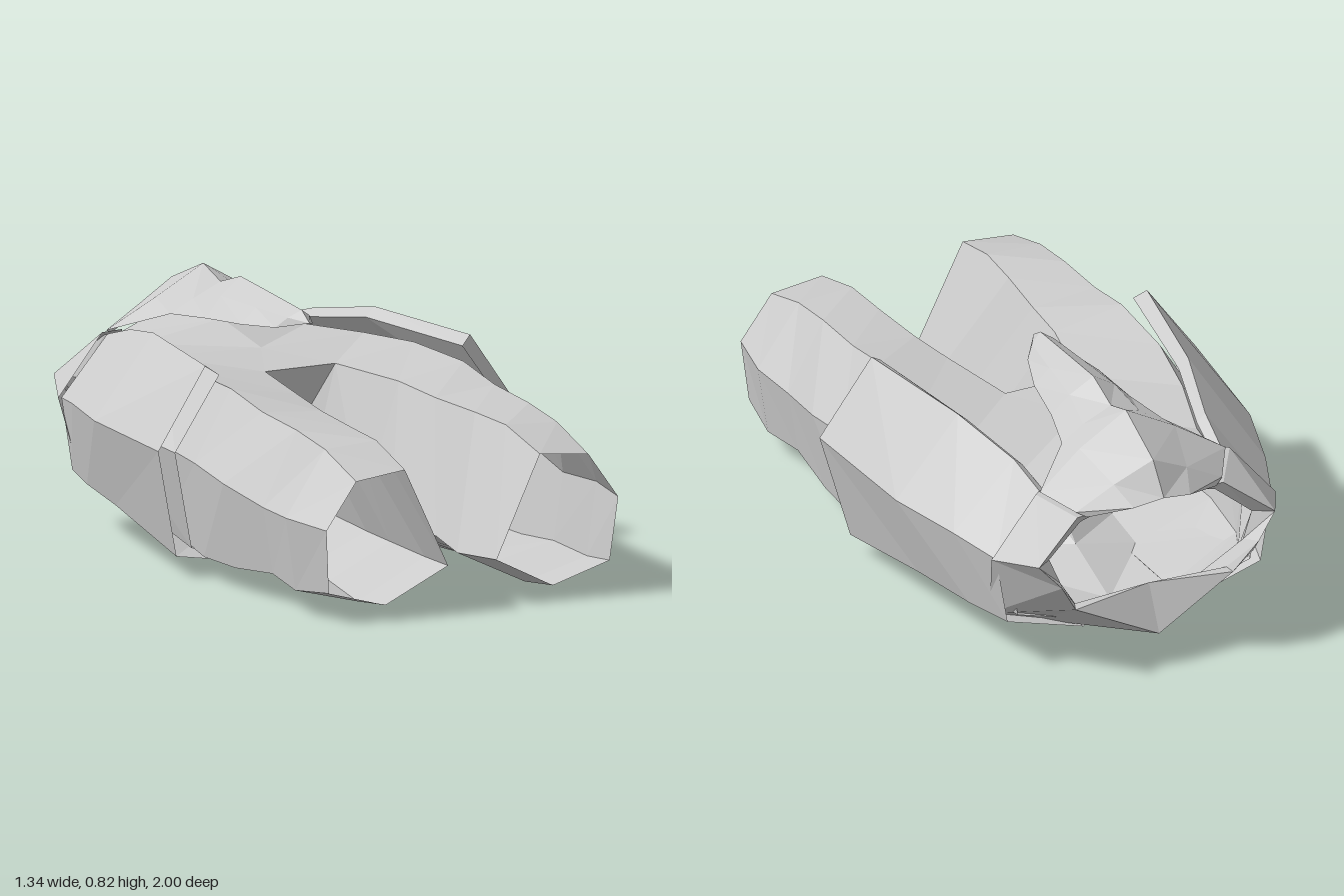
import * as THREE from 'three';

const material = new THREE.MeshStandardMaterial({ color: 0xcccccc, flatShading: true, side: THREE.DoubleSide });

// Faceted mesh from corner triples; side = -1 mirrors it across x = 0
function facets(name, triangles, side = 1) {
  const pos = [];
  for (const t of triangles) {
    for (const p of side > 0 ? t : [t[0], t[2], t[1]]) pos.push(p[0] * side, p[1], p[2]);
  }
  const geometry = new THREE.BufferGeometry();
  geometry.setAttribute('position', new THREE.Float32BufferAttribute(pos, 3));
  geometry.computeVertexNormals();
  const mesh = new THREE.Mesh(geometry, material);
  mesh.name = name;
  return mesh;
}

// Triangles joining successive cross-sections; keep(row, column) may drop a strip
function loft(rows, closed = false, keep = () => true) {
  const out = [], n = rows[0].length;
  for (let r = 0; r < rows.length - 1; r++) {
    for (let c = 0; c < (closed ? n : n - 1); c++) {
      if (!keep(r, c)) continue;
      const d = (c + 1) % n;
      const [a, b, e, f] = [rows[r][c], rows[r][d], rows[r + 1][d], rows[r + 1][c]];
      out.push([a, b, e], [a, e, f]);
    }
  }
  return out;
}

// Cross-section at depth z from x, y pairs
function section(z, ...xy) {
  const pts = [];
  for (let i = 0; i < xy.length; i += 2) pts.push([xy[i], xy[i + 1], z]);
  return pts;
}

export function createModel() {
  const model = new THREE.Group();
  model.name = 'armouredTrousers';

  // Leg sections from ankle to waist: inner top, outer top, outer, lower outer, bottom, inner
  const waist = section(-0.78, 0, 0.72, 0.30, 0.60, 0.44, 0.42, 0.37, 0.25, 0.20, 0.17, 0, 0.12);
  const legRows = [
    [[0.25, 0.48, 1], [0.43, 0.46, 1], [0.54, 0.31, 1], [0.52, 0.10, 0.98], [0.31, 0.04, 0.98], [0.09, 0.15, 1]],
    section(0.8, 0.24, 0.54, 0.43, 0.53, 0.575, 0.32, 0.54, 0.08, 0.31, 0.02, 0.06, 0.14),
    section(0.62, 0.23, 0.55, 0.43, 0.56, 0.555, 0.32, 0.52, 0.10, 0.31, 0.055, 0.085, 0.16),
    section(0.4, 0.21, 0.56, 0.43, 0.58, 0.575, 0.36, 0.53, 0.08, 0.31, 0.04, 0.045, 0.15),
    section(0.2, 0.19, 0.58, 0.43, 0.62, 0.565, 0.39, 0.53, 0.08, 0.30, 0.035, 0.055, 0.17),
    section(-0.1, 0.13, 0.59, 0.42, 0.63, 0.54, 0.41, 0.50, 0.13, 0.27, 0.06, 0.035, 0.22),
    section(-0.35, 0, 0.61, 0.38, 0.62, 0.52, 0.42, 0.48, 0.18, 0.22, 0.08, 0, 0.13),
    section(-0.6, 0, 0.66, 0.31, 0.61, 0.48, 0.42, 0.45, 0.19, 0.22, 0.09, 0, 0.06),
    waist,
  ];
  // The inner strip stops where the two halves meet
  const legFaces = loft(legRows, true, (r, c) => c < 5 || r < 5);

  // Side skirt plates: top edge, outer, lower outer, bottom edge
  const plateRows = [
    [[0.49, 0.69, 0.14], [0.67, 0.43, 0.15], [0.58, 0.07, 0.11], [0.20, 0.0, 0.06]],
    section(-0.33, 0.41, 0.705, 0.63, 0.44, 0.55, 0.155, 0.20, 0.04),
    section(-0.6, 0.34, 0.66, 0.555, 0.44, 0.50, 0.17, 0.19, 0.075),
    section(-0.78, 0.32, 0.61, 0.49, 0.42, 0.45, 0.18, 0.18, 0.095),
  ];
  // Inner skin, a little proud at the front end
  const inset = ([x, y, z]) => [x * 0.94 - 0.01, 0.36 + (y - 0.36) * 0.91, z > 0 ? z + 0.02 : z];
  const plateFaces = loft(plateRows.map((row) => [...row, ...row.map(inset).reverse()]), true);

  // Hip belt: front edge, back rim, recessed lip, joined back to the waist
  const beltRows = [
    [[0.29, 0.63, -0.74], [0.345, 0.62, -0.77], [0.505, 0.42, -0.775], [0.47, 0.17, -0.69], [0.30, 0.10, -0.68], [0, 0.05, -0.70]],
    [[0.20, 0.58, -0.89], [0.26, 0.58, -0.90], [0.42, 0.46, -0.95], [0.35, 0.38, -0.975], [0.28, 0.26, -0.93], [0, 0.12, -0.965]],
    [[0.18, 0.56, -0.87], [0.24, 0.55, -0.88], [0.36, 0.45, -0.90], [0.325, 0.36, -0.91], [0.27, 0.265, -0.90], [0, 0.27, -0.89]],
    waist,
  ];

  // Ridged front flap: ridge, shoulder, edge
  const flapRows = [
    [[0, 0.64, -1.0], [0.10, 0.62, -0.985], [0.23, 0.58, -0.91]],
    [[0, 0.74, -0.92], [0.13, 0.67, -0.90], [0.26, 0.595, -0.89]],
    [[0, 0.82, -0.72], [0.17, 0.725, -0.73], [0.33, 0.625, -0.77]],
    [[0, 0.78, -0.61], [0.10, 0.735, -0.61], [0.18, 0.69, -0.62]],
    [[0, 0.82, -0.48], [0.08, 0.765, -0.47], [0.14, 0.70, -0.46]],
    [[0, 0.80, -0.28], [0.06, 0.76, -0.28], [0.115, 0.71, -0.28]],
    [[0, 0.78, -0.09], [0.04, 0.755, -0.11], [0.07, 0.72, -0.14]],
    [[0, 0.745, -0.04], [0, 0.745, -0.04], [0, 0.745, -0.04]],
  ];

  for (const side of [1, -1]) {
    const label = side > 0 ? 'left' : 'right';
    model.add(facets(label + 'Leg', legFaces, side));
    model.add(facets(label + 'HipPlate', plateFaces, side));
    // The belt's inner return leaves the front open under the flap
    model.add(facets(label + 'Belt', loft(beltRows, false, (r, c) => r < 2 || c > 0), side));
    model.add(facets(label + 'FrontFlap', loft(flapRows), side));
  }

  // Gusset between the legs: top, recessed front, shelf and underside
  const a = [-0.13, 0.59, -0.1], b = [0.13, 0.59, -0.1];
  const c = [-0.035, 0.22, -0.1], d = [0.035, 0.22, -0.1];
  const seat = [0, 0.13, -0.35], top = [0, 0.61, -0.35], notch = [0, 0.3, -0.2];
  model.add(facets('gusset', [[a, b, top], [a, notch, b], [a, c, notch], [b, notch, d], [c, d, notch], [c, seat, d]]));

  return model;
}
